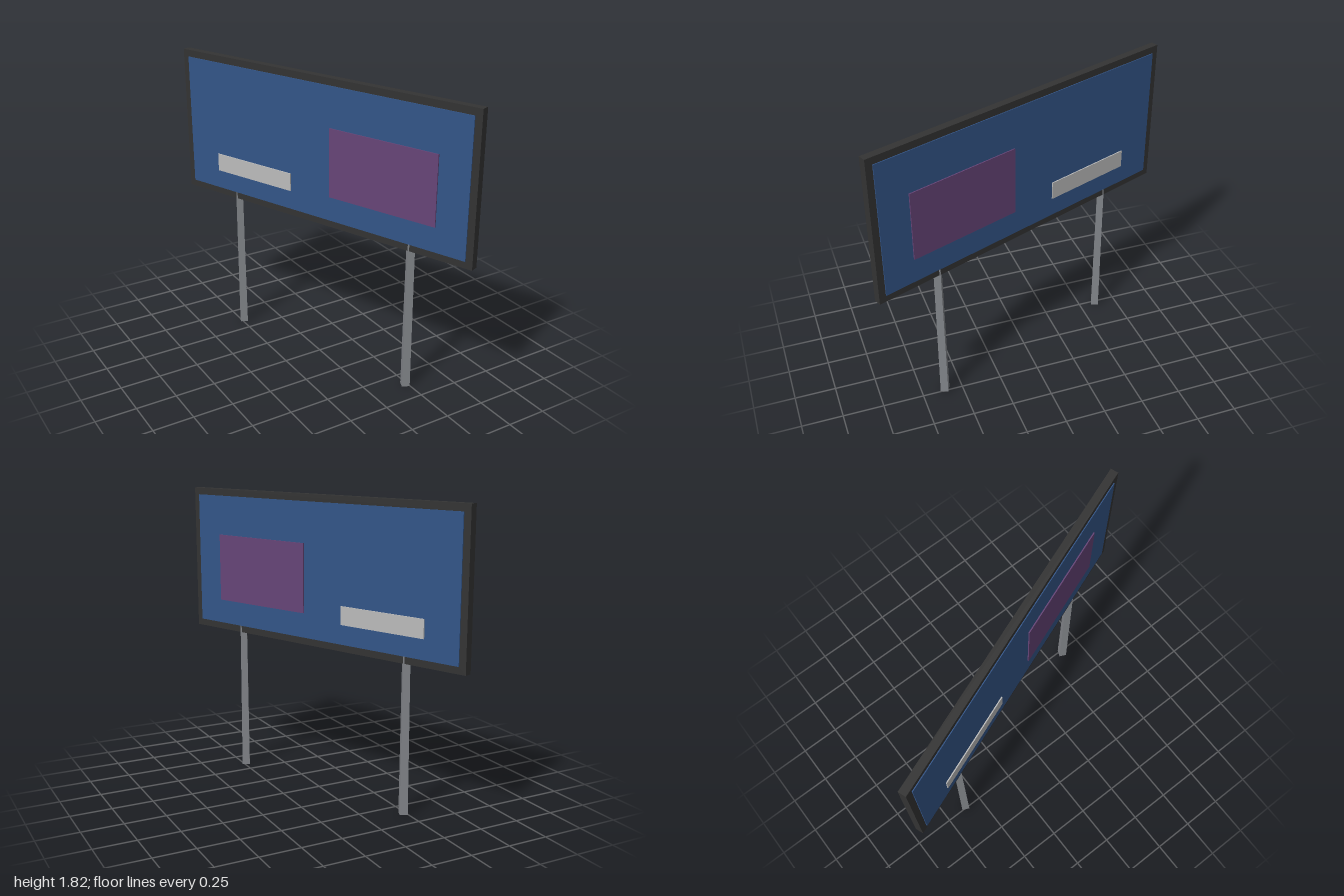
import * as THREE from 'three';

export function createModel() {
  const mat = (name, color) => {
    const m = new THREE.MeshStandardMaterial({ color });
    m.name = name;
    return m;
  };
  const frameDark = mat('frameCharcoal', 0x333333);
  const panelBlue = mat('panelBlue', 0x335588);
  const posterPurple = mat('posterPurple', 0x664477);
  const stripGrey = mat('stripGrey', 0xbbbbbb);
  const postGrey = mat('postGrey', 0x84878c);

  const model = new THREE.Group();
  model.name = 'billboard';
  // The board is built along x, then turned to its diagonal heading
  model.rotation.y = THREE.MathUtils.degToRad(-68.9);

  const add = (name, geometry, material, x, y, z) => {
    const mesh = new THREE.Mesh(geometry, material);
    mesh.name = name;
    mesh.position.set(x, y, z);
    model.add(mesh);
  };

  const length = 2.12, bottom = 0.903, top = 1.815, border = 0.043;
  const frameDepth = 0.048, panelDepth = 0.059;
  const height = top - bottom, midY = (top + bottom) / 2;

  // Rectangular frame with an opening for the panel
  const rect = (shape, w, h) => shape
    .moveTo(-w / 2, -h / 2).lineTo(w / 2, -h / 2)
    .lineTo(w / 2, h / 2).lineTo(-w / 2, h / 2).closePath();
  const outline = rect(new THREE.Shape(), length, height);
  outline.holes.push(rect(new THREE.Path(), length - 2 * border, height - 2 * border));
  add('frame', new THREE.ExtrudeGeometry(outline, { depth: frameDepth, bevelEnabled: false }),
    frameDark, 0, midY, -frameDepth / 2);

  // Panel stands slightly proud of the frame on both sides
  add('panel', new THREE.BoxGeometry(length - 2 * border, height - 2 * border, panelDepth),
    panelBlue, 0, midY, 0);

  // Poster and strip plates, repeated on both faces
  const plate = 0.007;
  for (const side of [-1, 1]) {
    const z = side * (panelDepth + plate) / 2;
    add('poster', new THREE.BoxGeometry(0.726, 0.425, plate), posterPurple, 0.459, 1.311, z);
    add('strip', new THREE.BoxGeometry(0.592, 0.112, plate), stripGrey, -0.494, 1.122, z);
  }

  // Tapered four-sided posts, set edge-on to the board
  for (const x of [-0.651, 0.651]) {
    const postTop = 0.96;
    const post = new THREE.CylinderGeometry(0.029, 0.034, postTop, 4).toNonIndexed();
    post.computeVertexNormals();
    add('post', post, postGrey, x, postTop / 2, 0);
  }

  const group = new THREE.Group();
  group.add(model);
  return group;
}
